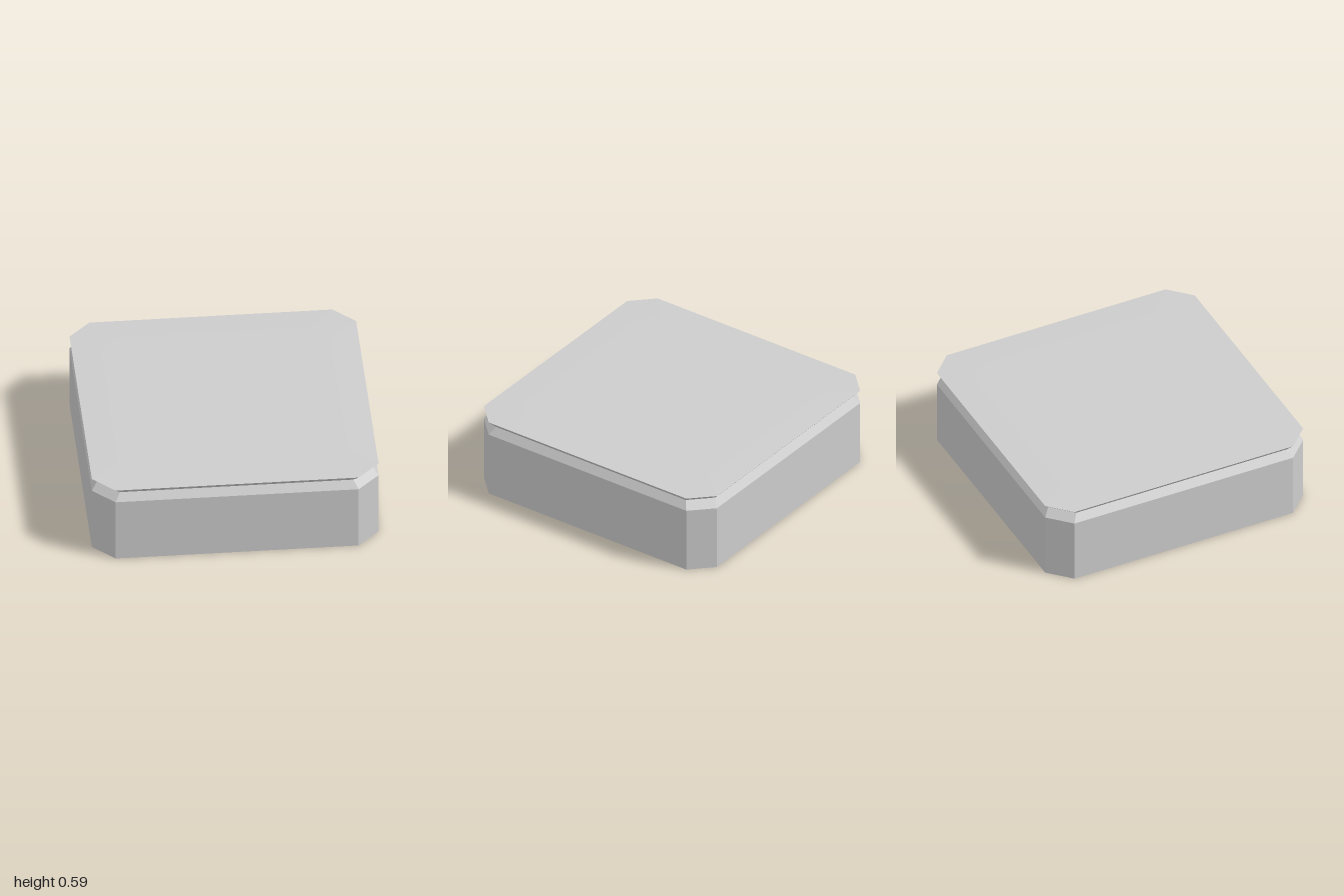
import * as THREE from 'three';

// Corner-cut square outline, half width 1
const C = 0.848;
const OUTLINE = [[1, -C], [1, C], [C, 1], [-C, 1], [-1, C], [-1, -C], [-C, -1], [C, -1]];

// Band of faces between two scaled outlines, each given as [scale, y]
function band([s0, y0], [s1, y1]) {
  const pos = [];
  OUTLINE.forEach(([x, z], i) => {
    const [u, w] = OUTLINE[(i + 1) % OUTLINE.length];
    const a = [x * s0, y0, z * s0], b = [u * s0, y0, w * s0];
    const c = [x * s1, y1, z * s1], d = [u * s1, y1, w * s1];
    pos.push(...a, ...c, ...b);
    if (s1 > 0) pos.push(...b, ...c, ...d);
  });
  const geo = new THREE.BufferGeometry();
  geo.setAttribute('position', new THREE.Float32BufferAttribute(pos, 3));
  geo.computeVertexNormals();
  return geo;
}

export function createModel() {
  const group = new THREE.Group();
  const grey = new THREE.MeshStandardMaterial({ color: 0xcccccc });
  grey.name = 'lightGrey';
  grey.flatShading = true;
  grey.side = THREE.DoubleSide;

  // Open-bottomed shell, from the floor up to the closed lid
  const parts = [
    ['walls', [1, 0], [1, 0.482]],
    ['shoulder', [1, 0.482], [0.96, 0.538]],
    ['lidUnderside', [0.96, 0.538], [1, 0.582]],
    ['lidRim', [1, 0.582], [0.8, 0.587]],
    ['lidTop', [0.8, 0.587], [0, 0.587]],
  ];
  for (const [name, low, high] of parts) {
    const mesh = new THREE.Mesh(band(low, high), grey);
    mesh.name = name;
    group.add(mesh);
  }
  return group;
}
